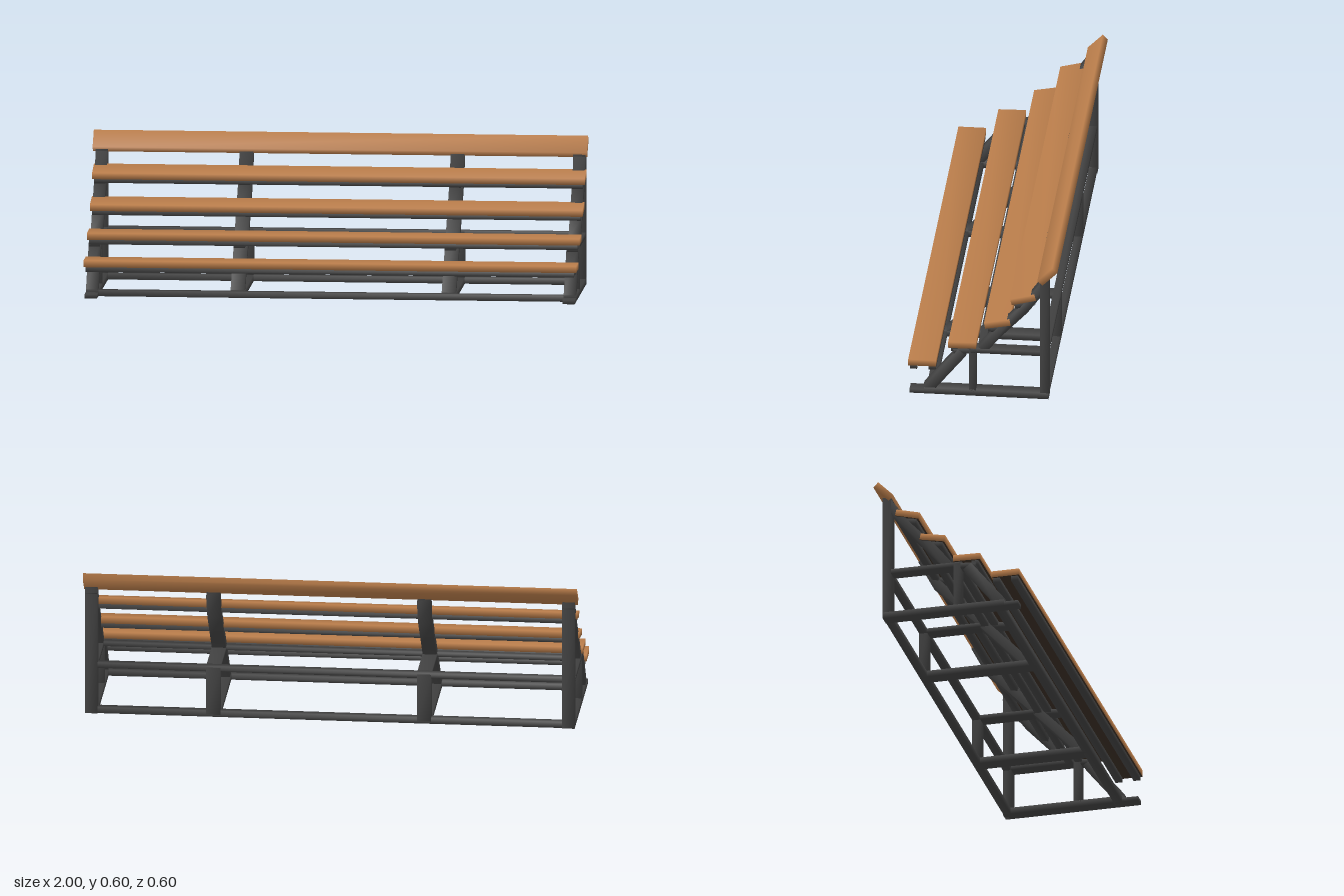
import * as THREE from 'three';
import { mergeVertices } from 'three/addons/utils/BufferGeometryUtils.js';

export function createModel() {
  const model = new THREE.Group();
  model.name = 'bleacher';
  const paint = (name, color) => {
    const m = new THREE.MeshStandardMaterial({ color });
    m.name = name;
    return m;
  };
  const wood = paint('warm wood', 0xb87c4a);
  const shadeWood = paint('dark underside', 0x3c3026);
  const steel = paint('dark steel', 0x424242);

  // Weld corners so the shading runs softly around each bar
  function soften(geo) {
    geo.deleteAttribute('normal');
    geo.deleteAttribute('uv');
    const welded = mergeVertices(geo, 1e-5);
    welded.computeVertexNormals();
    return welded;
  }

  // Box spanning the given ranges
  function box(parent, name, mat, x0, x1, y0, y1, z0, z1) {
    const m = new THREE.Mesh(soften(new THREE.BoxGeometry(x1 - x0, y1 - y0, z1 - z0)), mat);
    m.position.set((x0 + x1) / 2, (y0 + y1) / 2, (z0 + z1) / 2);
    m.name = name;
    parent.add(m);
  }

  // Sloping bar of constant thickness, swept through [z, y] points
  function beam(parent, name, x, width, thick, pts) {
    const v = pts.map(([z, y]) => new THREE.Vector2(-z, y));
    const front = [], back = [];
    v.forEach((p, i) => {
      const dir = v[Math.min(i + 1, v.length - 1)].clone().sub(v[Math.max(i - 1, 0)]).normalize();
      const n = new THREE.Vector2(-dir.y, dir.x).multiplyScalar(thick / 2);
      front.push(p.clone().add(n));
      back.unshift(p.clone().sub(n));
    });
    const geo = new THREE.ExtrudeGeometry(new THREE.Shape([...front, ...back]), { depth: width, bevelEnabled: false });
    geo.clearGroups();
    geo.translate(0, 0, -width / 2);
    geo.rotateY(Math.PI / 2);
    const m = new THREE.Mesh(soften(geo), steel);
    m.position.x = x;
    m.name = name;
    parent.add(m);
  }

  // Plank boards with lengthwise joists beneath: [name, z, y, depth, tilt, joist offsets]
  const seatPaint = [wood, wood, wood, shadeWood, wood, wood];
  const boards = [
    ['seatBoard1', 0.246, 0.141, 0.112, 0, [0.035, -0.04]],
    ['seatBoard2', 0.084, 0.23, 0.112, 0.02, [0.033, -0.035]],
    ['seatBoard3', -0.058, 0.334, 0.104, 0.19, [0.03, -0.026]],
    ['seatBoard4', -0.162, 0.45, 0.1, 0.25, [0.027, -0.028]],
    ['topBoard', -0.261, 0.561, 0.086, 0.79, []],
  ];
  for (const [name, z, y, depth, tilt, joists] of boards) {
    const row = new THREE.Group();
    row.name = name;
    row.position.set(0, y, z);
    row.rotation.x = tilt;
    const isSeat = joists.length > 0;
    const thick = isSeat ? 0.0135 : 0.0145;
    box(row, 'plank', isSeat ? seatPaint : wood, isSeat ? -0.993 : -1, 0.995, -thick, thick, -depth / 2, depth / 2);
    for (const j of joists)
      box(row, 'joist', steel, -0.985, 0.985, -0.033, -0.0135, j - 0.014, j + 0.014);
    model.add(row);
  }

  // End frames, mirrored
  for (const side of [-1, 1]) {
    const frame = new THREE.Group();
    frame.name = side > 0 ? 'leftEndFrame' : 'rightEndFrame';
    const x = side * 0.964, a = x - 0.025, b = x + 0.025;
    box(frame, 'foot', steel, a, b, 0, 0.017, 0.2, 0.297);
    box(frame, 'baseRail', steel, a, b, 0, 0.027, -0.264, 0.238);
    box(frame, 'rearPost', steel, a, b, 0, 0.535, -0.265, -0.23);
    box(frame, 'shortPost', steel, a, b, 0.02, 0.21, 0.029, 0.057);
    box(frame, 'middleRail', steel, a, b, 0.195, 0.215, -0.24, 0.05);
    beam(frame, 'lowerBrace', x, 0.048, 0.042, [[0.225, 0.018], [0.085, 0.193]]);
    beam(frame, 'upperBrace', x, 0.048, 0.037, [[0.004, 0.21], [-0.064, 0.293], [-0.166, 0.402], [-0.252, 0.522]]);
    model.add(frame);
  }

  // Inner frames
  for (const x of [-0.38, 0.472]) {
    const frame = new THREE.Group();
    frame.name = 'innerFrame';
    const a = x - 0.029, b = x + 0.029;
    box(frame, 'baseRail', steel, a, b, 0, 0.026, -0.25, 0.22);
    box(frame, 'rearShortPost', steel, a, b, 0.01, 0.21, -0.264, -0.231);
    box(frame, 'middleRail', steel, a, b, 0.196, 0.214, -0.24, 0.01);
    beam(frame, 'longBrace', x, 0.056, 0.036, [[0.185, 0.016], [-0.075, 0.288], [-0.2, 0.42], [-0.252, 0.522]]);
    model.add(frame);
  }

  // Seat brackets on every frame
  const brackets = [
    [[0.12, 0.196], [0.03, 0.202]],
    [[-0.03, 0.303], [-0.1, 0.316]],
    [[-0.13, 0.415], [-0.205, 0.434]],
  ];
  for (const x of [-0.964, -0.38, 0.472, 0.964])
    for (const pts of brackets) beam(model, 'seatBracket', x, 0.045, 0.02, pts);

  // Lengthwise rails tying the frames together
  box(model, 'frontFloorRail', steel, -0.97, 0.97, 0, 0.024, 0.195, 0.23);
  box(model, 'rearFloorRail', steel, -0.97, 0.97, 0.001, 0.026, -0.263, -0.232);
  box(model, 'rearMiddleRail', steel, -0.97, 0.97, 0.194, 0.216, -0.263, -0.232);
  box(model, 'innerMiddleRail', steel, -0.97, 0.97, 0.196, 0.214, -0.004, 0.024);

  return model;
}
